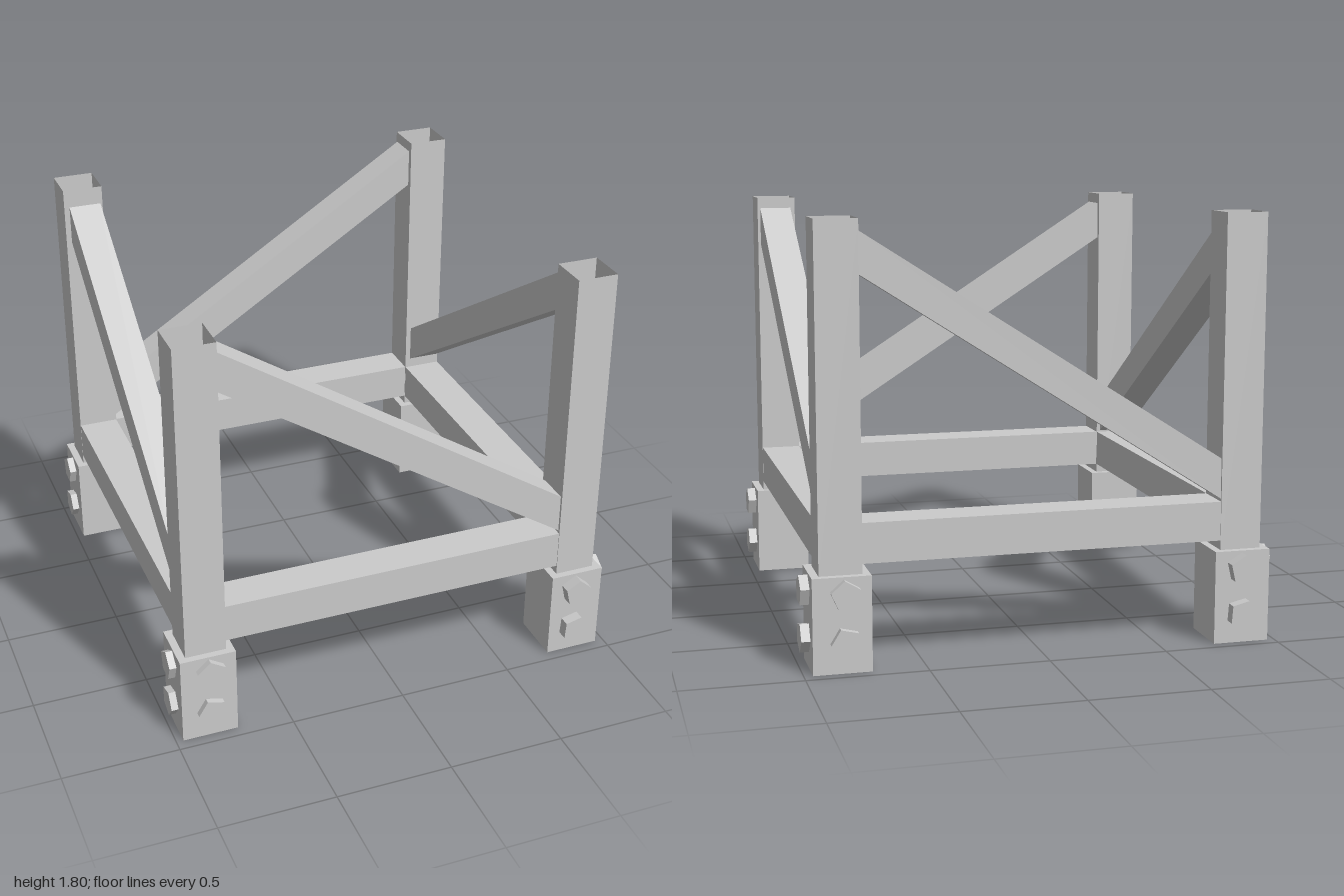
import * as THREE from 'three';

const X = [-0.85, 0.843], Z = [-0.835, 0.832]; // post centre lines
const POST = 0.176, TOP = 1.8, FOOT_TOP = 0.395;

export function createModel() {
  const group = new THREE.Group();
  const mat = new THREE.MeshStandardMaterial({ color: 0xcccccc, flatShading: true });
  const thin = new THREE.MeshStandardMaterial({ color: 0xcccccc, flatShading: true, side: THREE.DoubleSide });

  const add = (name, geo, x, y, z, material = mat) => {
    const mesh = new THREE.Mesh(geo, material);
    mesh.name = name;
    mesh.position.set(x, y, z);
    group.add(mesh);
    return mesh;
  };

  // Shared geometries: open-topped square tube, foot block, five-sided bolt head
  const postGeo = new THREE.CylinderGeometry(POST / Math.SQRT2, POST / Math.SQRT2, TOP - FOOT_TOP, 4, 1, true).rotateY(Math.PI / 4);
  const footGeo = new THREE.BoxGeometry(0.24, FOOT_TOP, 0.236);
  const boltGeo = new THREE.CylinderGeometry(0.063, 0.063, 0.08, 5).rotateX(Math.PI / 2);

  // Outer reach of the bolts on the front and back faces, by [x side][z side]
  const reachZ = [[1.0, 0.977], [0.983, 0.998]];

  X.forEach((x, i) => Z.forEach((z, k) => {
    const sx = i ? 1 : -1, sz = k ? 1 : -1;
    add('post', postGeo, x, (TOP + FOOT_TOP) / 2, z, thin);
    add('foot', footGeo, x, FOOT_TOP / 2, z);

    // Two bolts on each of the two outward faces
    [0.13, 0.323].forEach((y, n) => {
      const spin = 0.24 + n * 0.3;
      const face = add('bolt', boltGeo, i ? 0.83 : -0.842, y, sz * (reachZ[i][k] - 0.04));
      face.rotation.z = sx * spin;
      const side = add('bolt', boltGeo, sx * 0.96, y, sz * 0.836);
      side.rotation.set(0, sx * Math.PI / 2, spin);
    });
  }));

  // Horizontal beams between the posts
  const beamY = 0.518, beamH = 0.166;
  const spanX = X[1] - X[0] - POST, spanZ = Z[1] - Z[0] - POST;
  const midX = (X[0] + X[1]) / 2, midZ = (Z[0] + Z[1]) / 2;
  Z.forEach((z) => add('crossBeam', new THREE.BoxGeometry(spanX, beamH, POST - 0.006), midX, beamY, z));
  X.forEach((x) => add('sideBeam', new THREE.BoxGeometry(POST - 0.002, beamH, spanZ), x, beamY, midZ));

  // Diagonal brace with upright ends: top edge height runs from ya at a to yb at b
  const braceGeo = (a, ya, b, yb) => {
    const h = 0.17, depth = 0.142;
    const shape = new THREE.Shape([[a, ya - h], [b, yb - h], [b, yb], [a, ya]].map((p) => new THREE.Vector2(...p)));
    return new THREE.ExtrudeGeometry(shape, { depth, bevelEnabled: false }).translate(0, 0, -depth / 2);
  };
  const HIGH = 1.753, LOW = 0.783;
  add('frontBrace', braceGeo(-0.762, HIGH, 0.755, LOW), 0, 0, 0.837);
  add('backBrace', braceGeo(-0.762, LOW, 0.755, HIGH), 0, 0, -0.843);
  const turn = -Math.PI / 2; // local x becomes z
  add('leftBrace', braceGeo(-0.8, LOW, 0.722, HIGH), 0.85, 0, 0).rotation.y = turn;
  add('rightBrace', braceGeo(-0.8, HIGH, 0.722, LOW), -0.843, 0, 0).rotation.y = turn;

  return group;
}
